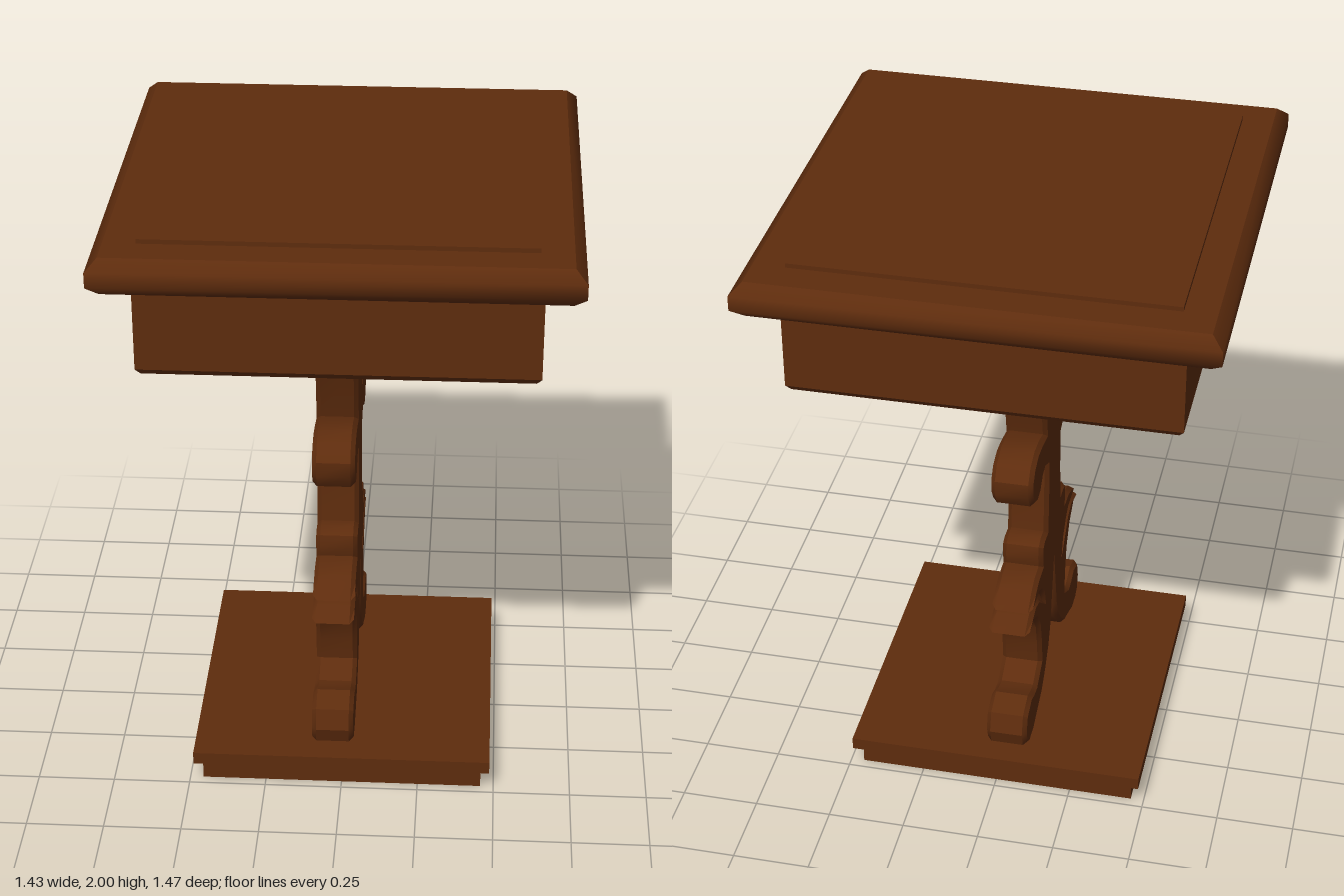
import * as THREE from 'three';
import { mergeGeometries, toCreasedNormals } from 'three/addons/utils/BufferGeometryUtils.js';

const wood = new THREE.MeshStandardMaterial({ color: 0x5e2c0d });
wood.name = 'dark wood';

function fromTriangles(points) {
  const g = new THREE.BufferGeometry();
  g.setAttribute('position', new THREE.Float32BufferAttribute(points.flat(), 3));
  g.computeVertexNormals();
  return g;
}

// Rectangular slab whose moulded rim follows levels of [y, half width, half depth]
function slab(name, levels, crease = 0.5) {
  const rings = levels.map(([y, hx, hz]) => [[hx, y, hz], [hx, y, -hz], [-hx, y, -hz], [-hx, y, hz]]);
  const sides = [];
  for (let k = 0; k < rings.length - 1; k++) {
    for (let i = 0; i < 4; i++) {
      const j = (i + 1) % 4, lo = rings[k], hi = rings[k + 1];
      sides.push(lo[i], lo[j], hi[j], lo[i], hi[j], hi[i]);
    }
  }
  const b = rings[0], t = rings[rings.length - 1];
  const caps = [t[0], t[1], t[2], t[0], t[2], t[3], b[0], b[2], b[1], b[0], b[3], b[2]];
  const geometry = mergeGeometries([toCreasedNormals(fromTriangles(sides), crease), fromTriangles(caps)]);
  const mesh = new THREE.Mesh(geometry, wood);
  mesh.name = name;
  return mesh;
}

// Half outline of the scrolled support, as [distance from centre, y]
const halfProfile = [
  // upper fork
  [0, 1.4], [0.065, 1.59], [0.25, 1.59], [0.175, 1.4], [0.13, 1.185],
  // upper scroll
  [0.19, 1.2], [0.26, 1.205], [0.32, 1.185], [0.355, 1.14], [0.355, 1.09], [0.325, 1.04],
  [0.275, 1.018], [0.225, 1.028], [0.19, 1.06], [0.155, 1.07], [0.102, 1.042],
  // column and small step
  [0.105, 0.9], [0.115, 0.79], [0.155, 0.793], [0.19, 0.778], [0.197, 0.74], [0.188, 0.7],
  // upper leaf
  [0.25, 0.7], [0.305, 0.68], [0.36, 0.635], [0.31, 0.647], [0.265, 0.64], [0.21, 0.61], [0.165, 0.565], [0.14, 0.515],
  // lower leaf
  [0.18, 0.56], [0.235, 0.608], [0.295, 0.627], [0.35, 0.613], [0.41, 0.58], [0.34, 0.585], [0.275, 0.545], [0.232, 0.48],
  // leg and scrolled foot
  [0.21, 0.39], [0.202, 0.31], [0.275, 0.268], [0.31, 0.272], [0.36, 0.29], [0.435, 0.263], [0.455, 0.195],
  [0.437, 0.14], [0.4, 0.117], [0.33, 0.117], [0.26, 0.145], [0.19, 0.17], [0.13, 0.22], [0.075, 0.285], [0.04, 0.36],
  [0, 0.595],
];

function support() {
  const mirrored = halfProfile.slice(1, -1).reverse().map(([z, y]) => [-z, y]);
  const shape = new THREE.Shape([...halfProfile, ...mirrored].map(([z, y]) => new THREE.Vector2(z, y)));
  const bevel = 0.014, thickness = 0.135;
  const geometry = new THREE.ExtrudeGeometry(shape, {
    depth: thickness - 2 * bevel, bevelEnabled: true, bevelSegments: 1,
    bevelSize: bevel, bevelThickness: bevel, bevelOffset: -bevel,
  });
  geometry.translate(0, 0, bevel - thickness / 2);
  geometry.rotateY(-Math.PI / 2);
  const mesh = new THREE.Mesh(toCreasedNormals(geometry, 0.6), wood);
  mesh.name = 'scrolledSupport';
  mesh.position.x = -0.031;
  return mesh;
}

export function createModel() {
  const table = new THREE.Group();
  table.name = 'pedestalTable';
  table.add(
    slab('basePlinth', [[0, 0.457, 0.468], [0.075, 0.457, 0.468]]),
    slab('basePlate', [[0.075, 0.485, 0.499], [0.117, 0.485, 0.499]]),
    support(),
    slab('apron', [[1.567, 0.585, 0.6], [1.587, 0.6, 0.615], [1.87, 0.6, 0.615]]),
    slab('tableTop', [
      [1.87, 0.68, 0.697], [1.905, 0.715, 0.735], [1.952, 0.715, 0.735], [1.986, 0.68, 0.7],
    ], 0.9),
    slab('topPanel', [[1.98, 0.582, 0.598], [2, 0.582, 0.598]]),
  );
  return table;
}
